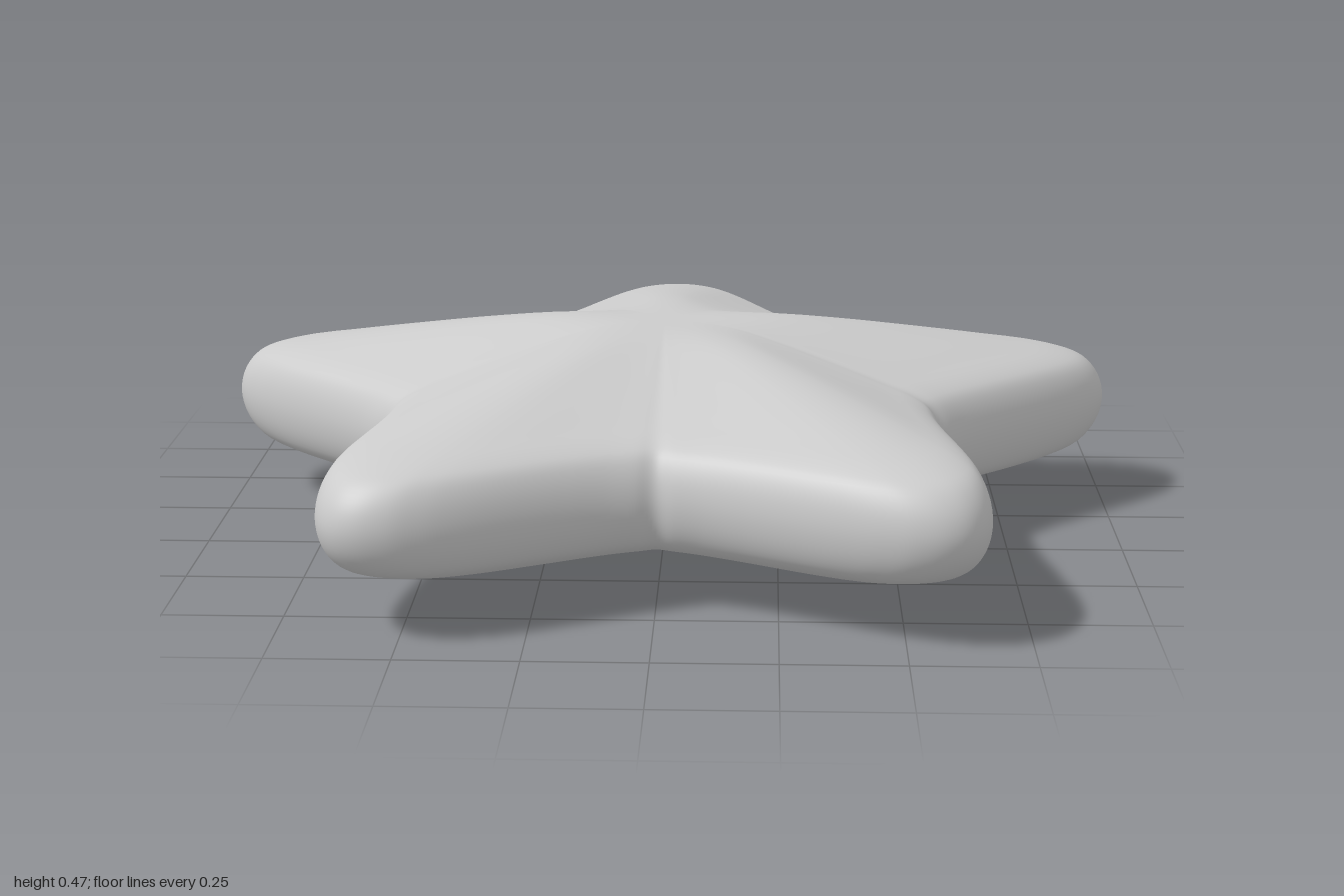
import * as THREE from 'three';

const CENTRE_Z = 0.09, MID_Y = 0.235;

// Half of one arm's outline: distance along the arm, half width
const HALF_ARM = [[1.045, 0], [1.034, 0.047], [1.0, 0.095], [0.95, 0.134], [0.88, 0.174],
  [0.69, 0.265], [0.6, 0.312], [0.545, 0.347], [0.51, 0.37]];

// Upper half of the section: fraction of the outline radius, half thickness
const SECTION = [[0, 0.235], [0.15, 0.234], [0.27, 0.226], [0.42, 0.204], [0.6, 0.172],
  [0.78, 0.138], [0.9, 0.113], [0.955, 0.09], [0.988, 0.05], [1, 0]];

// Smooth closed star outline made of five mirrored arms
function starOutline(count) {
  const points = [];
  for (let arm = 0; arm < 5; arm++) {
    const angle = arm * Math.PI * 2 / 5;
    const left = HALF_ARM.slice(1, -1).reverse().map(([d, w]) => [d, -w]);
    for (const [d, w] of [...left, ...HALF_ARM]) {
      points.push(new THREE.Vector3(
        d * Math.sin(angle) + w * Math.cos(angle), 0,
        -d * Math.cos(angle) + w * Math.sin(angle)));
    }
  }
  return new THREE.CatmullRomCurve3(points, true, 'centripetal').getPoints(count).slice(0, count);
}

// Section from top centre, round the rim, to bottom centre
function sectionCurve(count) {
  const lower = SECTION.slice(0, -1).reverse().map(([s, h]) => [s, -h]);
  const points = [...SECTION, ...lower].map(([s, h]) => new THREE.Vector3(s, h, 0));
  return new THREE.CatmullRomCurve3(points, false, 'centripetal').getPoints(count);
}

function starGeometry() {
  const n = 400;
  const outline = starOutline(n);
  const rings = sectionCurve(72).slice(1, -1);
  const positions = [0, SECTION[0][1], 0];
  const index = [];

  for (const ring of rings) {
    for (const p of outline) positions.push(p.x * ring.x, ring.y, p.z * ring.x);
  }
  positions.push(0, -SECTION[0][1], 0);

  const at = (i, j) => 1 + i * n + j % n;
  const last = rings.length - 1, bottom = 1 + rings.length * n;
  for (let j = 0; j < n; j++) {
    index.push(0, at(0, j + 1), at(0, j));
    for (let i = 0; i < last; i++) {
      index.push(at(i, j), at(i + 1, j + 1), at(i + 1, j));
      index.push(at(i, j), at(i, j + 1), at(i + 1, j + 1));
    }
    index.push(bottom, at(last, j), at(last, j + 1));
  }

  const geometry = new THREE.BufferGeometry();
  geometry.setAttribute('position', new THREE.Float32BufferAttribute(positions, 3));
  geometry.setIndex(index);
  geometry.computeVertexNormals();
  return geometry;
}

export function createModel() {
  const model = new THREE.Group();
  model.name = 'star';
  const body = new THREE.Mesh(starGeometry(), new THREE.MeshStandardMaterial({ color: 0xcccccc }));
  body.name = 'starBody';
  body.position.set(0, MID_Y, CENTRE_Z);
  model.add(body);
  return model;
}
